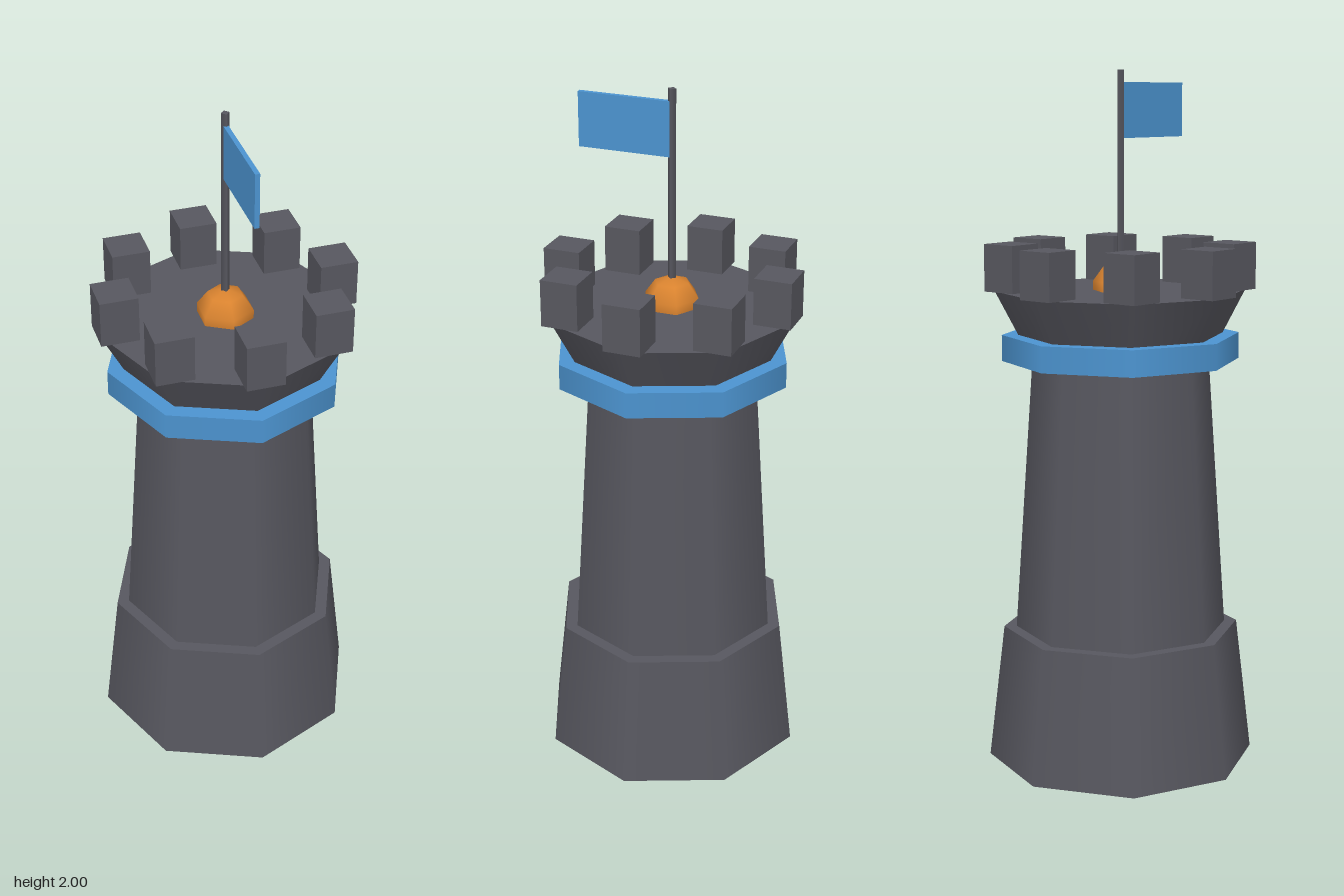
import * as THREE from 'three';

export function createModel() {
  const model = new THREE.Group();
  model.name = 'watchtower';

  const material = (name, color) => {
    const m = new THREE.MeshStandardMaterial({ color });
    m.name = name;
    return m;
  };
  const stone = material('darkStone', 0x57575f);
  const blue = material('blue', 0x4c94d0);
  const orange = material('orange', 0xd9832f);

  const add = (name, geometry, mat, x, y, z, parent = model) => {
    const mesh = new THREE.Mesh(geometry, mat);
    mesh.name = name;
    mesh.position.set(x, y, z);
    parent.add(mesh);
    return mesh;
  };

  // Tapered drum standing between two heights
  const drum = (name, mat, rBottom, rTop, y0, y1, sides = 8) =>
    add(name, new THREE.CylinderGeometry(rTop, rBottom, y1 - y0, sides), mat, 0, (y0 + y1) / 2, 0);

  // Octagonal tower body
  drum('base', stone, 0.39, 0.344, 0, 0.392);
  drum('shaft', stone, 0.308, 0.254, 0.392, 1.2);
  drum('band', blue, 0.342, 0.342, 1.18, 1.255);
  drum('battlementPlatform', stone, 0.256, 0.36, 1.18, 1.38);

  // Eight merlons, all square to the axes
  const merlons = new THREE.Group();
  merlons.name = 'merlons';
  model.add(merlons);
  const merlonGeometry = new THREE.BoxGeometry(0.108, 0.135, 0.108);
  for (let i = 0; i < 8; i++) {
    const a = (i * Math.PI) / 4;
    add('merlon', merlonGeometry, stone, 0.313 * Math.sin(a), 1.4475, 0.313 * Math.cos(a), merlons);
  }

  // Six-sided beacon with corners on the z axis
  const beacon = add('beacon', new THREE.SphereGeometry(0.085, 6, 5), orange, 0, 1.38, 0);
  beacon.rotation.y = Math.PI / 2;

  // Flagpole and flag
  drum('flagpole', stone, 0.012, 0.012, 1.38, 2, 4);
  add('flag', new THREE.BoxGeometry(0.0135, 0.155, 0.272), blue, 0, 1.8875, 0.136);

  return model;
}
